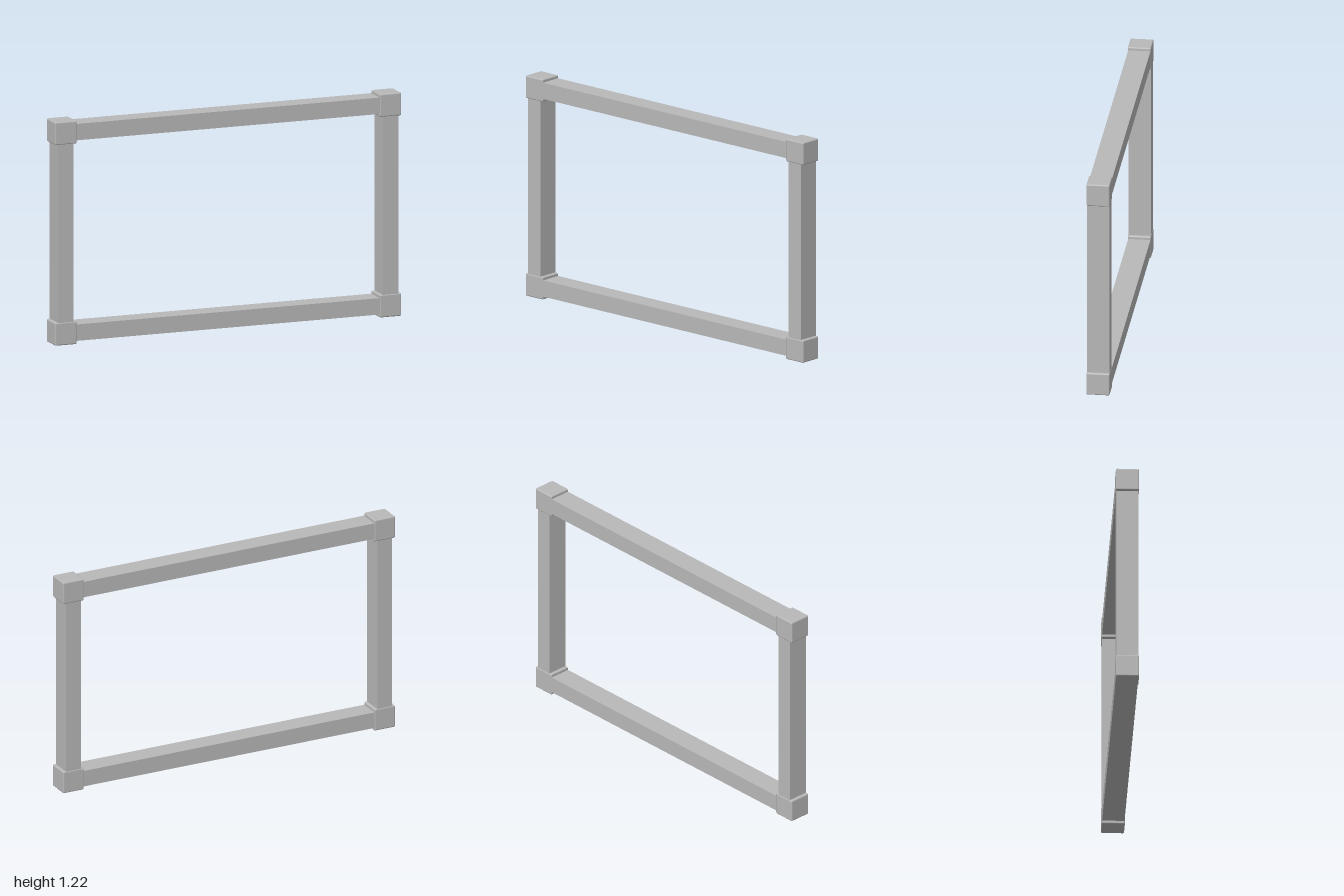
import * as THREE from 'three';
import { RoundedBoxGeometry } from 'three/addons/geometries/RoundedBoxGeometry.js';

const BLOCK = 0.125;        // corner block edge
const BAR = 0.09;           // bar thickness seen from the front
const DEPTH = 0.12;         // bar depth
const HEIGHT = 1.224;
const X = 1 - BLOCK / 2;    // block centres
const Y_LOW = BLOCK / 2;
const Y_HIGH = HEIGHT - BLOCK / 2;

export function createModel() {
  const group = new THREE.Group();
  group.name = 'frame';
  const grey = new THREE.MeshStandardMaterial({ color: 0xb8b8b8 });
  grey.name = 'grey';

  const add = (name, geometry, x, y) => {
    const mesh = new THREE.Mesh(geometry, grey);
    mesh.name = name;
    mesh.position.set(x, y, 0);
    group.add(mesh);
  };

  // Softly bevelled corner blocks
  const block = new RoundedBoxGeometry(BLOCK, BLOCK, BLOCK, 3, 0.007);
  for (const [side, x] of [['left', X], ['right', -X]]) {
    add(`${side}BottomCorner`, block, x, Y_LOW);
    add(`${side}TopCorner`, block, x, Y_HIGH);
  }

  // Horizontal rails, ending inside the blocks
  const rail = new THREE.BoxGeometry(2 * X, BAR, DEPTH);
  add('bottomRail', rail, 0, Y_LOW);
  add('topRail', rail, 0, Y_HIGH);

  // Upright posts, ending inside the blocks
  const post = new THREE.BoxGeometry(BAR, Y_HIGH - Y_LOW, DEPTH);
  add('leftPost', post, X, HEIGHT / 2);
  add('rightPost', post, -X, HEIGHT / 2);

  return group;
}
